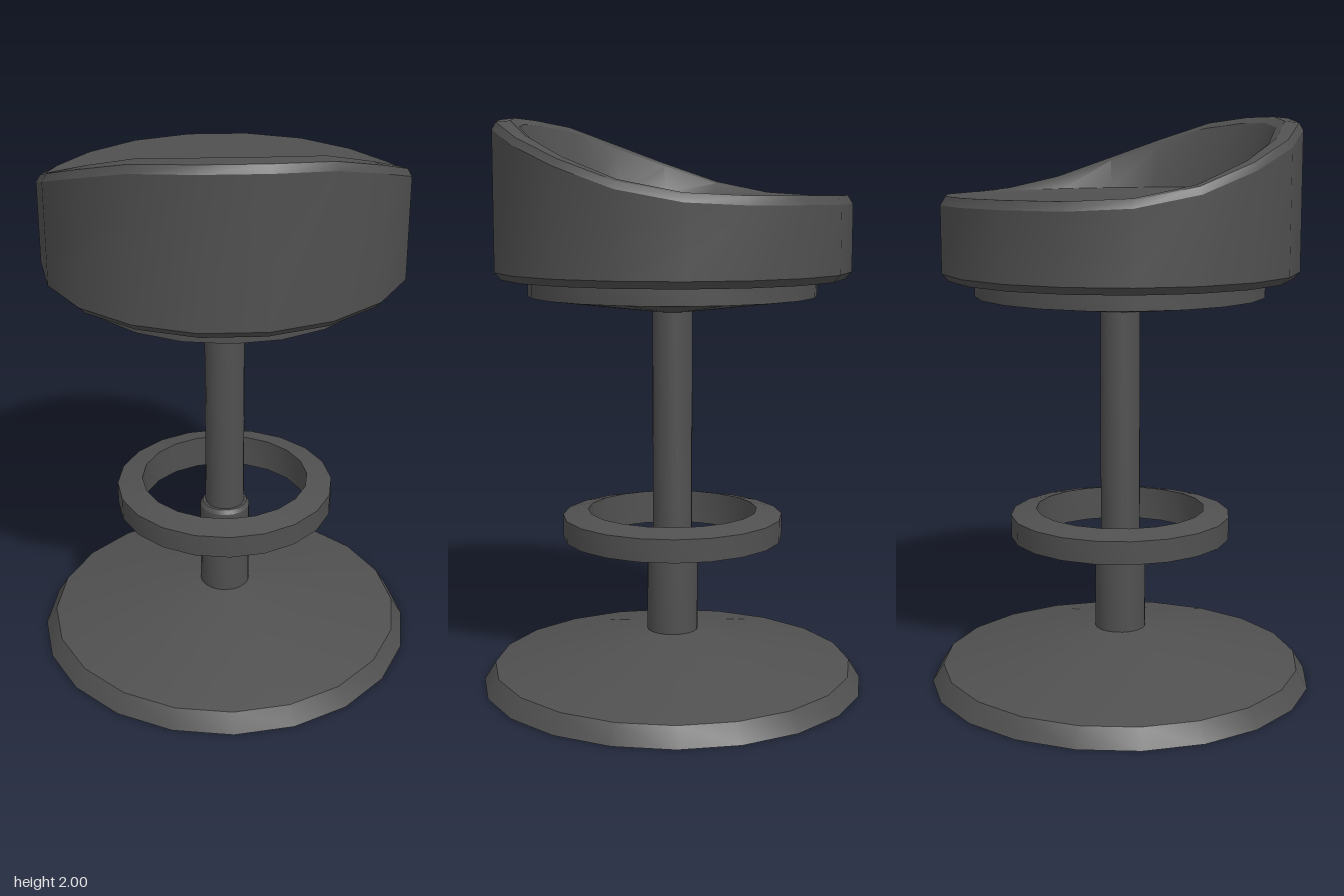
import * as THREE from 'three';
import { toCreasedNormals } from 'three/addons/utils/BufferGeometryUtils.js';

const CREASE = Math.PI / 6;
const material = new THREE.MeshStandardMaterial({ color: 0x505050 });

function addPart(group, name, geometry) {
  const mesh = new THREE.Mesh(toCreasedNormals(geometry, CREASE), material);
  mesh.name = name;
  group.add(mesh);
}

// Turned part from [radius, height] pairs, listed upwards along the outside
function turned(profile, sides = 20) {
  return new THREE.LatheGeometry(profile.map(([r, y]) => new THREE.Vector2(r, y)), sides);
}

// Bucket seat: rings whose height and radius vary around the rim
function seatGeometry() {
  const sides = 18;
  const crest = [2.0, 1.982, 1.925, 1.855, 1.785, 1.745, 1.735, 1.735, 1.735];

  // Section of the seat at one angle, from bottom centre to top centre
  const section = (j) => {
    const c = crest[Math.min(j, sides - 1 - j)];
    const angle = ((j + 0.5) / sides) * Math.PI * 2;
    const s = THREE.MathUtils.clamp((Math.cos(angle) + 0.45) / 1.43, 0, 1);
    return [
      [0, 1.45], [0.595, 1.45], [0.62, 1.475], // underside and lower edge
      [0.62, c - 0.03], [0.605, c - 0.005], // outer wall
      [0.603 - 0.05 * s, c], [0.6 - 0.08 * s, c - 0.022 * s], // rim
      [0.585 - 0.155 * s, 1.735 + 0.015 * s], [0.25, 1.735], [0, 1.735], // cushion
    ].map(([r, y]) => [r * Math.sin(angle), y, r * Math.cos(angle)]);
  };

  const positions = [];
  const indices = [];
  let rows = 0;
  for (let j = 0; j < sides; j++) {
    const points = section(j);
    rows = points.length;
    points.forEach((p) => positions.push(...p));
  }
  for (let j = 0; j < sides; j++) {
    const next = (j + 1) % sides;
    for (let i = 0; i < rows - 1; i++) {
      const a = j * rows + i;
      const b = next * rows + i;
      if (i > 0) indices.push(a, b, b + 1);
      if (i < rows - 2) indices.push(a, b + 1, a + 1);
      // The bottom and top centres need only one triangle per side
    }
  }
  const geometry = new THREE.BufferGeometry();
  geometry.setAttribute('position', new THREE.Float32BufferAttribute(positions, 3));
  geometry.setIndex(indices);
  return geometry;
}

export function createModel() {
  const stool = new THREE.Group();
  stool.name = 'barStool';

  // Floor plate with a shallow cone
  addPart(stool, 'base', turned([[0, 0], [0.68, 0], [0.64, 0.065], [0.09, 0.19], [0, 0.19]]));

  // Telescoping column
  addPart(stool, 'lowerColumn', turned([[0.09, 0.18], [0.09, 0.515], [0.08, 0.53], [0, 0.53]]));
  addPart(stool, 'upperColumn', turned([[0.07, 0.5], [0.07, 1.36]]));

  // Foot ring
  addPart(stool, 'footRing', turned([
    [0.3, 0.51], [0.39, 0.53], [0.39, 0.61], [0.3, 0.63], [0.3, 0.51],
  ]));

  // Plate under the seat
  addPart(stool, 'seatSupport', turned([[0, 1.335], [0.07, 1.335], [0.505, 1.39], [0.505, 1.455]]));

  // Seat with the raised back on the +z side
  addPart(stool, 'seat', seatGeometry());

  return stool;
}
